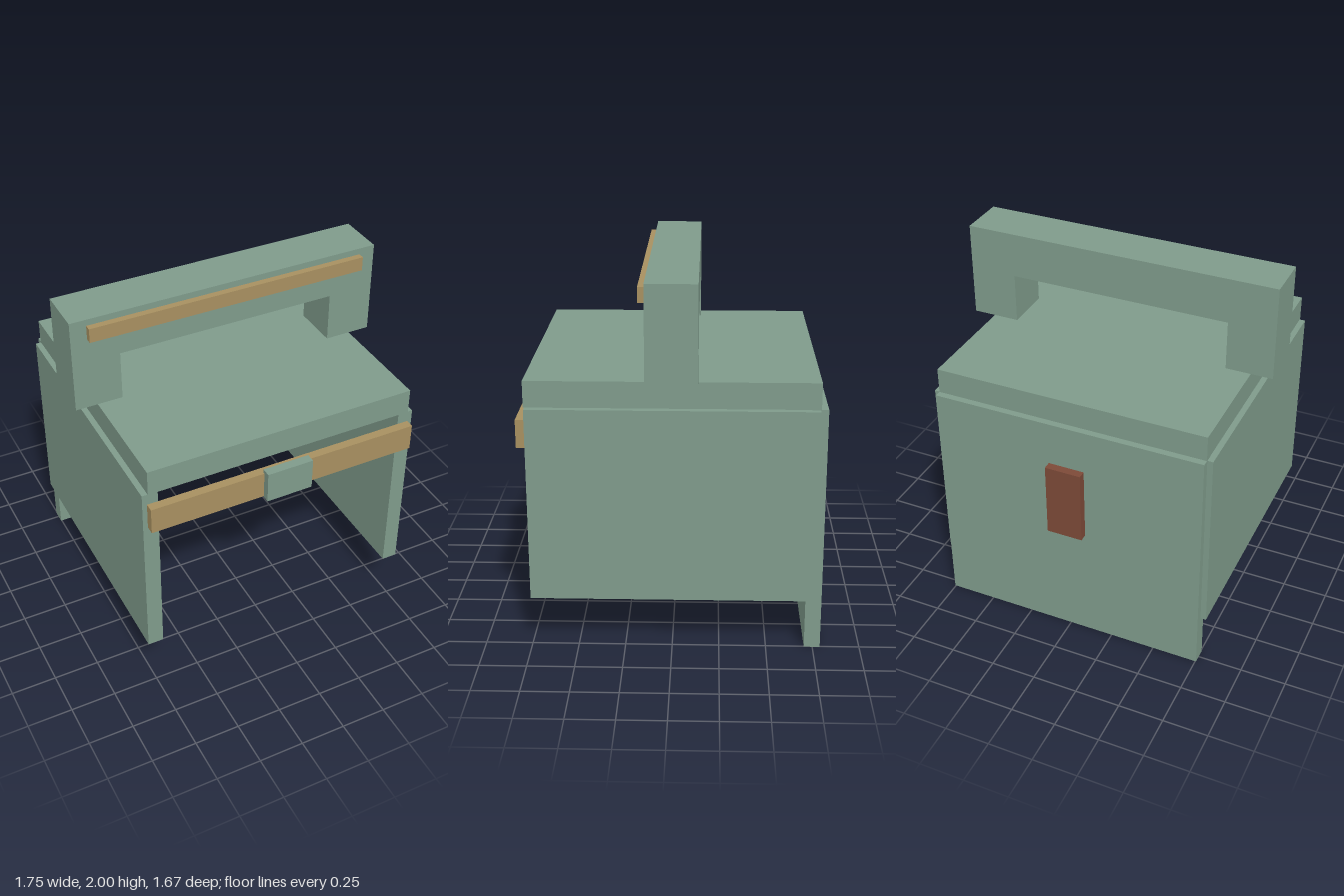
import * as THREE from 'three';

const mat = (name, color) => {
  const m = new THREE.MeshStandardMaterial({ color });
  m.name = name;
  return m;
};

export function createModel() {
  const green = mat('sage green', 0x7f9b8b);
  const tan = mat('tan', 0xa89060);
  const brown = mat('brown', 0x7d4a38);
  const model = new THREE.Group();

  // Box given by its limits on each axis
  const box = (name, material, [x0, x1], [y0, y1], [z0, z1]) => {
    const mesh = new THREE.Mesh(new THREE.BoxGeometry(x1 - x0, y1 - y0, z1 - z0), material);
    mesh.position.set((x0 + x1) / 2, (y0 + y1) / 2, (z0 + z1) / 2);
    mesh.name = name;
    model.add(mesh);
  };

  // Open-fronted body: top slab, back panel and two raised side panels
  box('topSlab', green, [-0.755, 0.755], [1.335, 1.475], [-0.753, 0.753]);
  box('backPanel', green, [-0.755, 0.755], [0, 1.335], [-0.79, -0.705]);
  box('leftPanel', green, [0.7, 0.786], [0.285, 1.333], [-0.748, 0.748]);
  box('rightPanel', green, [-0.786, -0.7], [0.285, 1.333], [-0.748, 0.748]);

  // Arched handle standing across the slab
  const arch = new THREE.Shape([
    [-0.876, 1.475], [-0.616, 1.475], [-0.616, 1.75], [0.616, 1.75],
    [0.616, 1.475], [0.876, 1.475], [0.876, 2], [-0.876, 2],
  ].map(([x, y]) => new THREE.Vector2(x, y)));
  const handle = new THREE.Mesh(
    new THREE.ExtrudeGeometry(arch, { depth: 0.264, bevelEnabled: false }), green);
  handle.position.z = -0.132;
  handle.name = 'handle';
  model.add(handle);

  // Trim on the handle, front strap with clasp, and tag on the back
  box('handleTrim', tan, [-0.787, 0.787], [1.885, 1.965], [0.132, 0.168]);
  box('frontStrap', tan, [-0.76, 0.76], [1.12, 1.27], [0.748, 0.796]);
  box('clasp', green, [-0.13, 0.13], [1.116, 1.29], [0.785, 0.836]);
  box('backTag', brown, [-0.1, 0.1], [0.67, 1.09], [-0.835, -0.79]);

  return model;
}
